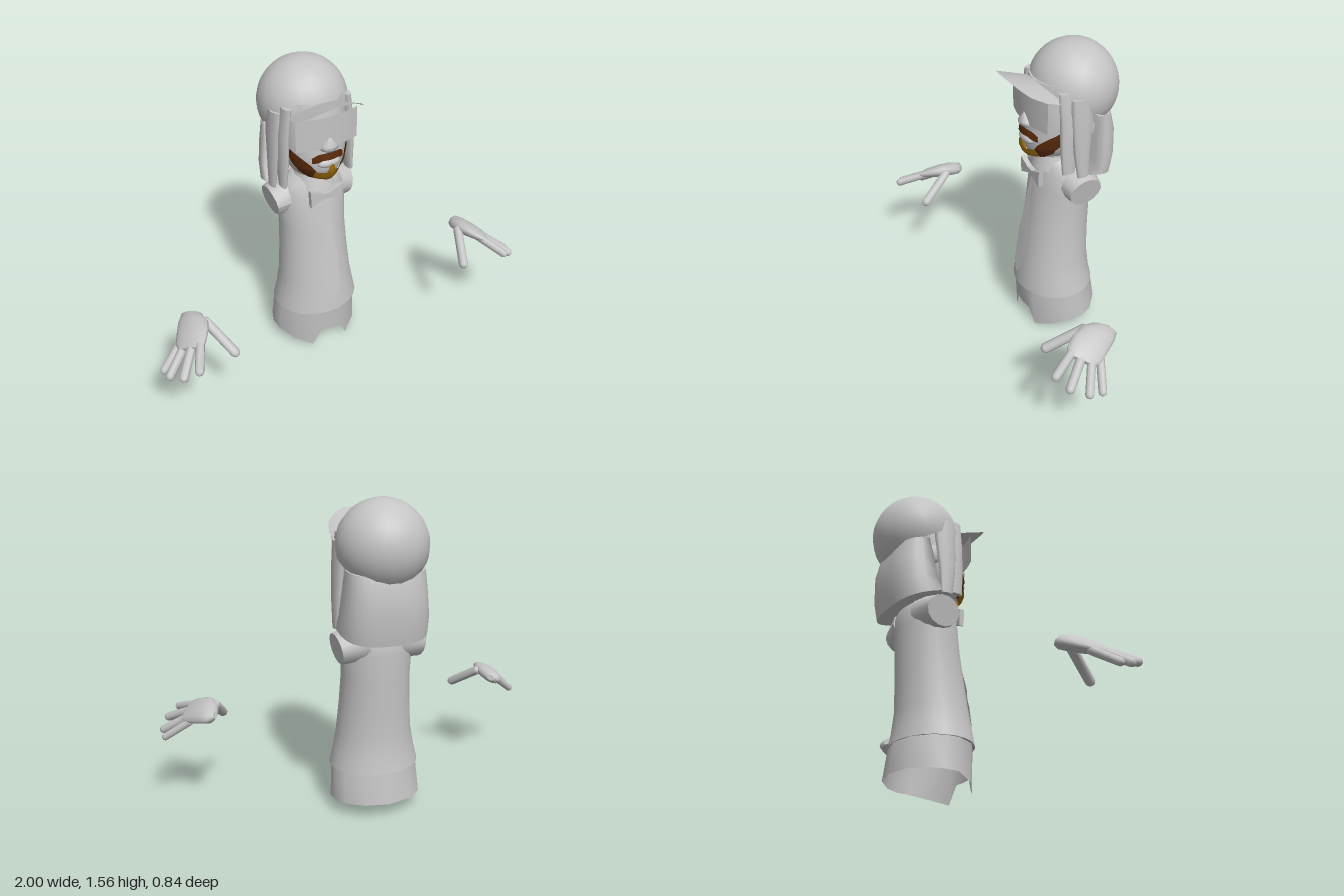
import * as THREE from 'three';

const V = (x, y, z) => new THREE.Vector3(x, y, z);

// Skin through rings of points running counterclockwise around the growth direction, with flat caps
function loft(rings, caps = true) {
  const n = rings[0].length, pos = [], idx = [];
  const add = p => pos.push(p.x, p.y, p.z) / 3 - 1;
  rings.forEach(r => r.forEach(add));
  for (let r = 0; r < rings.length - 1; r++) for (let i = 0; i < n; i++) {
    const p = r * n + i, q = r * n + (i + 1) % n;
    idx.push(p, q, p + n, q, q + n, p + n);
  }
  if (caps) [rings[0], rings[rings.length - 1]].forEach((ring, end) => {
    const c = add(ring.reduce((s, p) => s.add(p), V(0, 0, 0)).divideScalar(n));
    const k = ring.map(add);
    k.forEach((p, i) => end ? idx.push(c, p, k[(i + 1) % n]) : idx.push(c, k[(i + 1) % n], p));
  });
  return build(pos, idx);
}

// Rectangular sheet of points f(u, v), u and v from 0 to 1
function sheet(f, nu, nv) {
  const pos = [], idx = [];
  for (let j = 0; j <= nv; j++) for (let i = 0; i <= nu; i++) pos.push(...f(i / nu, j / nv));
  for (let j = 0; j < nv; j++) for (let i = 0; i < nu; i++) {
    const p = j * (nu + 1) + i, s = p + nu + 1;
    idx.push(p, p + 1, s, p + 1, s + 1, s);
  }
  return build(pos, idx);
}

function build(pos, idx) {
  const g = new THREE.BufferGeometry();
  g.setAttribute('position', new THREE.Float32BufferAttribute(pos, 3));
  g.setIndex(idx);
  g.computeVertexNormals();
  return g;
}

function mirrored(g) {
  const m = g.clone().scale(-1, 1, 1), a = m.index.array;
  for (let i = 0; i < a.length; i += 3) [a[i], a[i + 1]] = [a[i + 1], a[i]];
  m.computeVertexNormals();
  return m;
}

// Piecewise linear lookup in rows of [key, a, b, ...]
function lookup(rows, t) {
  let i = 0;
  while (i < rows.length - 2 && t > rows[i + 1][0]) i++;
  const k = THREE.MathUtils.clamp((t - rows[i][0]) / (rows[i + 1][0] - rows[i][0]), 0, 1);
  return rows[i].slice(1).map((a, c) => a + (rows[i + 1][c + 1] - a) * k);
}

// Horizontal oval: half width, front z and back z
function oval(y, w, front, back, n = 24) {
  return Array.from({ length: n }, (_, i) => {
    const a = i / n * Math.PI * 2;
    return V(w * Math.sin(a), y, (front + back) / 2 + (front - back) / 2 * Math.cos(a));
  });
}

// Rows of [y, half width, front z]
const FACE = [[1.0, 0.06, 0.0], [1.03, 0.115, 0.035], [1.08, 0.145, 0.055], [1.14, 0.16, 0.052],
  [1.2, 0.165, 0.042], [1.3, 0.165, 0.04], [1.41, 0.16, 0.01]];
function faceZ(x, y) {
  const [w, front] = lookup(FACE, y);
  return -0.1 + (front + 0.1) * Math.sqrt(Math.max(0, 1 - (x / w) ** 2));
}
// Thin patch lying on the face; rows of [x, bottom y, top y, lift]
function facePatch(rows) {
  const x0 = rows[0][0], x1 = rows[rows.length - 1][0];
  return sheet((u, v) => {
    const x = x0 + (x1 - x0) * u, [lo, hi, lift] = lookup(rows, x), y = lo + (hi - lo) * v;
    return [x, y, faceZ(x, y) + lift];
  }, 24, 5);
}
const symmetric = half => [...half.slice(1).reverse().map(([x, ...r]) => [-x, ...r]), ...half];

export function createModel() {
  const model = new THREE.Group();
  const mat = (name, color) => Object.assign(new THREE.MeshStandardMaterial({ color, side: THREE.DoubleSide }), { name });
  const grey = mat('plain grey', 0xc4c4c4), brown = mat('beard brown', 0x5a2a0c), gold = mat('goatee gold', 0x9c6c10);
  const add = (name, g, m = grey, parent = model) => {
    const mesh = new THREE.Mesh(g, m);
    mesh.name = name;
    parent.add(mesh);
    return mesh;
  };
  const pair = (name, g, m = grey) => { add(name + 'Left', g, m); add(name + 'Right', mirrored(g), m); };

  // Torso
  add('torso', loft([[0.225, 0.225, 0.1, -0.3], [0.3, 0.208, 0.09, -0.285], [0.4, 0.19, 0.075, -0.275],
    [0.55, 0.178, 0.052, -0.277], [0.7, 0.172, 0.03, -0.282], [0.82, 0.18, 0.012, -0.283],
    [0.9, 0.175, -0.003, -0.28], [0.95, 0.15, -0.02, -0.255], [0.985, 0.1, -0.03, -0.21]].map(r => oval(...r))));

  // Shirt tail with a notched front hem; rows of [angle, hem y]
  const half = [[0, 0.09], [0.24, 0.09], [0.45, 0], [0.9, 0.035], [1.4, 0.06], [1.75, 0.062], [2.1, 0.066], [2.6, 0.07]];
  const hem = [...half, [Math.PI, 0.07], ...half.slice(1).reverse().map(([a, y]) => [Math.PI * 2 - a, y])];
  const hemRing = (w, front, back, top) => hem.map(([a, y]) =>
    V(w * Math.sin(a), top ?? y, (front + back) / 2 + (front - back) / 2 * Math.cos(a)));
  add('shirtTail', loft([hemRing(0.23, 0.08, -0.32), hemRing(0.218, 0.09, -0.298, 0.225)], false));

  // Sleeve stumps
  const sleeve = new THREE.CylinderGeometry(0.078, 0.1, 0.13, 14).scale(1, 1, 1.12);
  sleeve.rotateZ(-Math.PI / 2 - 0.2).translate(0.15, 0.86, -0.16);
  pair('sleeve', sleeve);

  // Neck and collar
  add('neck', new THREE.CylinderGeometry(0.075, 0.085, 0.14, 18).translate(0, 0.99, -0.11));
  add('collar', new THREE.CylinderGeometry(0.09, 0.115, 0.07, 18, 1, true).translate(0, 0.965, -0.11));

  // Tie, bent to hang in front of the torso
  const tieSide = [[0.015, 0.9], [0.025, 0.75], [0.035, 0.62], [0.048, 0.55], [0.04, 0.5], [0.044, 0.46], [0.035, 0.37]];
  const tie = new THREE.ShapeGeometry(new THREE.Shape([...tieSide.map(([x, y]) => new THREE.Vector2(-x, y)),
    new THREE.Vector2(0, 0.31), ...tieSide.slice().reverse().map(([x, y]) => new THREE.Vector2(x, y))]));
  const tp = tie.attributes.position;
  const tieZ = [[0.31, 0.115], [0.37, 0.106], [0.5, 0.08], [0.62, 0.06], [0.75, 0.04], [0.9, 0.01]];
  for (let i = 0; i < tp.count; i++) tp.setZ(i, lookup(tieZ, tp.getY(i))[0]);
  tie.computeVertexNormals();
  add('tie', tie);

  // Bow
  const bowShape = new THREE.Shape([[-0.09, 0.955], [-0.02, 0.925], [0.02, 0.925], [0.09, 0.955], [0.085, 0.865],
    [0.02, 0.895], [-0.02, 0.895], [-0.085, 0.865]].map(p => new THREE.Vector2(...p)));
  add('bow', new THREE.ExtrudeGeometry(bowShape, { depth: 0.025, bevelEnabled: false }).translate(0, 0, 0.008));

  // Head, nose and ears
  add('head', loft(FACE.map(([y, w, f]) => oval(y, w, f, -0.2 - w * 0.4))));
  add('nose', loft([[1.175, 0.025, 0.07, 0.02], [1.19, 0.048, 0.084, 0.02], [1.21, 0.042, 0.088, 0.02],
    [1.25, 0.008, 0.065, 0.02]].map(r => oval(...r, 10))));
  pair('ear', new THREE.SphereGeometry(1, 10, 8).scale(0.02, 0.05, 0.035).translate(0.17, 1.17, -0.19));

  // Lower lip and beard
  add('lips', new THREE.SphereGeometry(1, 14, 8).scale(0.06, 0.025, 0.025).translate(0, 1.112, 0.05));
  pair('jawBeard', facePatch([[0.065, 1.02, 1.075, 0.008], [0.085, 1.03, 1.105, 0.008], [0.12, 1.058, 1.14, 0.008],
    [0.145, 1.1, 1.165, 0.008], [0.163, 1.16, 1.19, 0.008]]), brown);
  add('moustache', facePatch(symmetric([[0, 1.14, 1.178, 0.025], [0.045, 1.14, 1.175, 0.022],
    [0.06, 1.125, 1.168, 0.014], [0.085, 1.12, 1.148, 0.008]])), brown);
  add('goatee', facePatch(symmetric([[0, 1.018, 1.12, 0.03], [0.014, 1.018, 1.11, 0.03], [0.022, 1.018, 1.07, 0.024],
    [0.07, 1.022, 1.072, 0.01]])), gold);

  // Visor glasses
  add('visor', sheet((u, v) => {
    const x = (u - 0.5) * 0.33;
    return [x, 1.2 + 0.16 * v, 0.06 - 1.1 * x * x];
  }, 10, 1));

  // Cap dome and upturned brim
  add('capDome', new THREE.SphereGeometry(1, 22, 12, 0, Math.PI * 2, 0, 1.85).rotateX(-0.5)
    .scale(0.223, 0.222, 0.217).translate(0, 1.338, -0.205));
  add('capBrim', sheet((u, v) => {
    const s = u * 2 - 1, back = -0.03 - 0.06 * s * s, front = 0.04 + 0.138 * Math.sqrt(1 - s * s);
    const z = back + (front - back) * (1 - v);
    return [0.172 * s, 1.345 + 0.05 * (1 - s * s) + 0.36 * (z + 0.03), z];
  }, 18, 4));

  // Hair hanging behind; rows of [front y, back y, half width, front z, back z]
  const hairRows = [[0.95, 0.89, 0.222, -0.17, -0.357], [1.02, 0.99, 0.218, -0.2, -0.375],
    [1.13, 1.12, 0.205, -0.21, -0.378], [1.24, 1.22, 0.195, -0.23, -0.35]];
  add('backHair', loft(hairRows.map(([yf, yb, w, zf, zb]) => Array.from({ length: 15 }, (_, i) => {
    const a = i / 14 * Math.PI, s = Math.sin(a) ** 0.7;
    return V(w * Math.sign(Math.cos(a)) * Math.abs(Math.cos(a)) ** 0.7, yf + (yb - yf) * s, zf + (zb - zf) * s);
  }))));

  // Side locks; rows of [y, centre x, half thickness, front z, back z]
  const lock = rows => loft(rows.map(([y, x, t, f, b]) => oval(y, t, f, b, 10).map(p => p.add(V(x, 0, 0)))));
  pair('frontLock', lock([[0.97, 0.185, 0.014, -0.04, -0.11], [1.1, 0.18, 0.022, -0.03, -0.13],
    [1.25, 0.175, 0.025, -0.03, -0.13], [1.39, 0.16, 0.02, -0.03, -0.13]]));
  pair('rearLock', lock([[0.945, 0.21, 0.012, -0.11, -0.17], [1.08, 0.203, 0.022, -0.09, -0.18],
    [1.25, 0.195, 0.027, -0.08, -0.2], [1.36, 0.19, 0.025, -0.08, -0.2]]));

  // Floating hands: rows of [centre, half width, half thickness] for the palm
  const W = V(0.6, -0.4, -0.69).normalize(), T = W.clone().cross(V(0.45, -0.15, 0.88)).normalize();
  const palm = loft([[V(0.762, 0.512, 0.062), 0.02, 0.015], [V(0.77, 0.515, 0.08), 0.06, 0.032],
    [V(0.785, 0.515, 0.13), 0.085, 0.037], [V(0.81, 0.505, 0.18), 0.09, 0.034],
    [V(0.845, 0.488, 0.235), 0.085, 0.026], [V(0.86, 0.48, 0.26), 0.065, 0.014]].map(([c, w, t]) =>
    Array.from({ length: 14 }, (_, i) => {
      const a = i / 14 * Math.PI * 2;
      return c.clone().addScaledVector(W, w * Math.sin(a)).addScaledVector(T, t * Math.cos(a));
    })));
  pair('palm', palm);
  const fingers = {
    indexFinger: [V(0.8, 0.515, 0.25), V(0.872, 0.462, 0.395), 0.021],
    middleFinger: [V(0.83, 0.495, 0.23), V(0.935, 0.425, 0.36), 0.022],
    ringFinger: [V(0.855, 0.475, 0.2), V(0.975, 0.39, 0.285), 0.021],
    littleFinger: [V(0.87, 0.455, 0.165), V(0.98, 0.375, 0.22), 0.019],
    thumb: [V(0.735, 0.525, 0.17), V(0.665, 0.425, 0.325), 0.024],
  };
  for (const [name, [a, b, r]] of Object.entries(fingers)) {
    const d = b.clone().sub(a), g = new THREE.CapsuleGeometry(r, d.length(), 4, 10);
    g.applyQuaternion(new THREE.Quaternion().setFromUnitVectors(V(0, 1, 0), d.normalize()));
    const c = a.clone().add(b).multiplyScalar(0.5);
    pair(name, g.translate(c.x, c.y, c.z));
  }
  return model;
}
